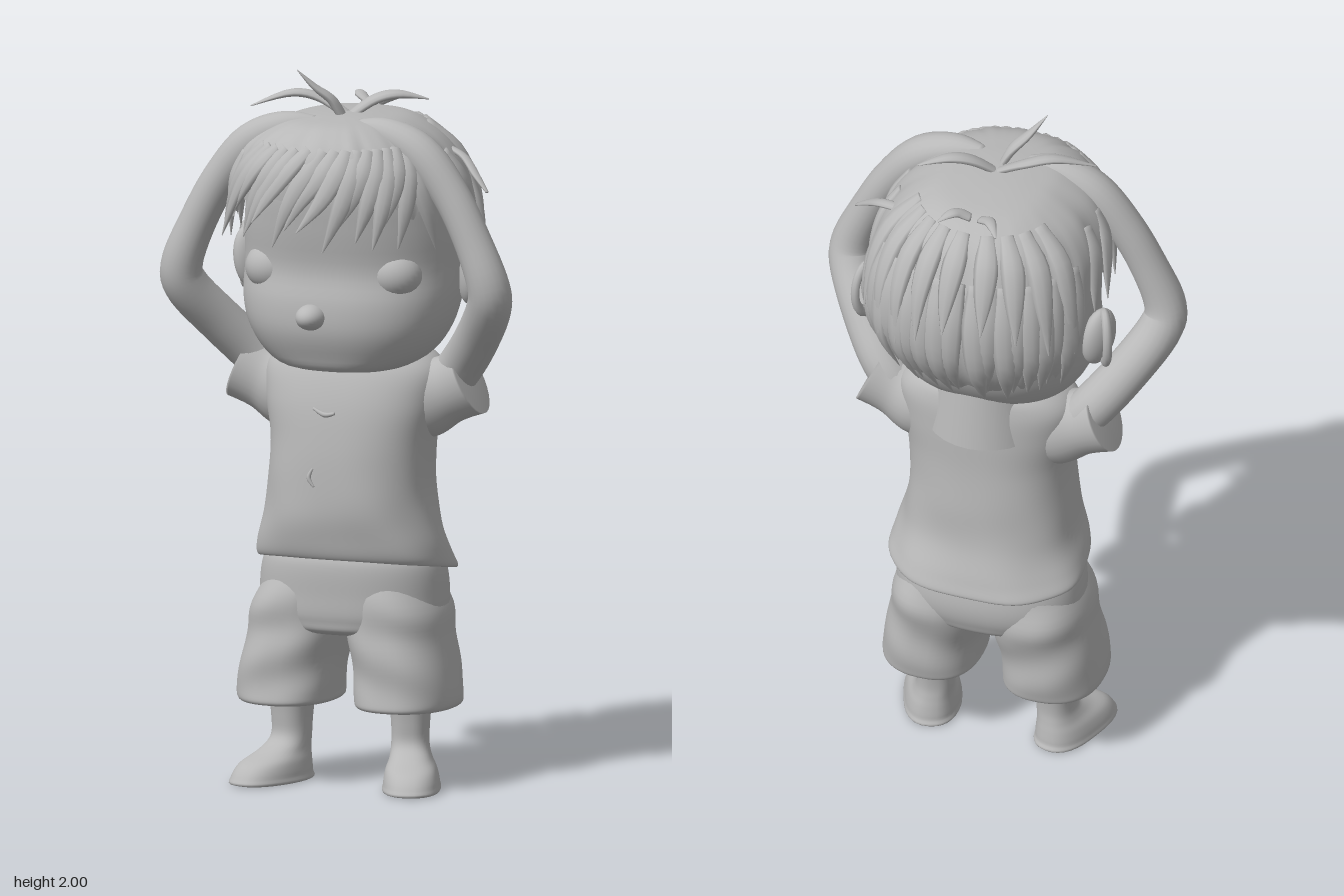
import * as THREE from 'three';

const clay = new THREE.MeshStandardMaterial({ color: 0xb8b8b8, side: THREE.DoubleSide });
clay.name = 'clay grey';
const V = (x, y, z) => new THREE.Vector3(x, y, z);
const clamp = THREE.MathUtils.clamp;
const smooth = THREE.MathUtils.smoothstep;

// Smooth interpolation through rows of numbers, t in 0..1
function sample(rows, t) {
  const n = rows.length - 1, f = clamp(t, 0, 1) * n, i = Math.min(Math.floor(f), n - 1), u = f - i;
  const row = k => rows[clamp(k, 0, n)];
  return rows[0].map((_, c) => {
    const a = row(i - 1)[c], b = row(i)[c], d = row(i + 1)[c], e = row(i + 2)[c];
    const m0 = (d - a) / 2, m1 = (e - b) / 2;
    return b + u * (m0 + u * (3 * (d - b) - 2 * m0 - m1 + u * (2 * (b - d) + m0 + m1)));
  });
}

// Closed-ring surface from fn(v, angle)
function skin(fn, rows, cols, flip) {
  const pos = [], idx = [];
  for (let i = 0; i <= rows; i++) for (let j = 0; j < cols; j++) pos.push(...fn(i / rows, j / cols * Math.PI * 2).toArray());
  for (let i = 0; i < rows; i++) for (let j = 0; j < cols; j++) {
    const k = (j + 1) % cols, a = i * cols + j, b = a + cols, c = (i + 1) * cols + k, d = i * cols + k;
    if (flip) idx.push(a, d, b, b, d, c); else idx.push(a, b, d, b, c, d);
  }
  const g = new THREE.BufferGeometry();
  g.setAttribute('position', new THREE.Float32BufferAttribute(pos, 3));
  g.setIndex(idx);
  g.computeVertexNormals();
  return g;
}

// Point on a body of sections [y, centreX, halfWidth, frontZ, backZ], listed top down; angle 0 is the front
function onBody(sections, t, a, power = 0.85) {
  const [y, cx, rx, zf, zb] = sample(sections, t);
  const p = q => Math.sign(q) * Math.abs(q) ** power;
  return V(cx + rx * p(Math.sin(a)), y, (zf + zb) / 2 + (zf - zb) / 2 * p(Math.cos(a)));
}
const loft = (sections, warp = () => {}, cols = 48, rows = 40) => skin((v, a) => {
  const p = onBody(sections, v, a);
  warp(p, a, v);
  return p;
}, rows, cols);

// Tapering tube through [x, y, z, radius]; "flat" thins it along the direction away from ref
function sweep(points, ref, flat = 1, rows = 16, cols = 10) {
  return skin((v, a) => {
    const t = clamp((v * rows - 1) / (rows - 2), 0, 1);
    const at = s => V(...sample(points, s));
    const c = at(t), T = at(Math.min(1, t + 0.01)).sub(at(Math.max(0, t - 0.01))).normalize();
    const N = c.clone().sub(ref);
    N.addScaledVector(T, -N.dot(T)).normalize();
    const B = T.clone().cross(N), r = v === 0 || v === 1 ? 0 : sample(points, t)[3];
    return c.addScaledVector(N, Math.cos(a) * r * flat).addScaledVector(B, Math.sin(a) * r);
  }, rows, cols, true);
}

export function createModel() {
  const model = new THREE.Group();
  model.name = 'child with raised arms';
  const add = (name, geometry, parent = model) => {
    const m = new THREE.Mesh(geometry, clay);
    m.name = name;
    parent.add(m);
    return m;
  };
  const ball = (name, x, y, z, sx, sy, sz) => {
    const m = add(name, new THREE.SphereGeometry(1, 28, 20));
    m.position.set(x, y, z);
    m.scale.set(sx, sy, sz);
    return m;
  };
  const behind = V(0, 1.4, -4);

  // Head, face and neck
  add('head', loft([
    [1.82, 0, 0, 0, 0], [1.8, 0, 0.16, 0.17, -0.18], [1.7, 0, 0.27, 0.245, -0.27], [1.58, 0, 0.3, 0.24, -0.3],
    [1.46, 0, 0.303, 0.222, -0.29], [1.37, 0, 0.3, 0.24, -0.26], [1.29, 0, 0.28, 0.24, -0.23],
    [1.22, 0, 0.235, 0.215, -0.18], [1.18, 0, 0.17, 0.19, -0.12], [1.17, 0, 0.08, 0.12, -0.05], [1.17, 0, 0, 0.04, 0.04],
  ]));
  add('neck', new THREE.CylinderGeometry(0.14, 0.17, 0.2, 28)).position.set(0, 1.18, -0.055);
  ball('nose', -0.025, 1.335, 0.235, 0.042, 0.036, 0.055);
  for (const s of [1, -1]) {
    ball('closedEye', s * 0.18, 1.45, 0.128, 0.078, 0.07, 0.075);
    const ear = ball('ear', s * 0.325, 1.435, -0.065, 0.035, 0.09, 0.055);
    ear.rotation.set(0.12, s * 0.5, -s * 0.12);
    const rim = add('earRim', new THREE.TorusGeometry(0.05, 0.013, 10, 28));
    rim.position.set(s * 0.345, 1.44, -0.072);
    rim.scale.set(0.85, 1.5, 1);
    rim.rotation.set(0, s * (Math.PI / 2 - 0.5), 0);
  }

  // Hair cap with a lower edge that dips behind the ears
  const hair = [
    [1.875, -0.01, 0, 0.02, 0.02], [1.87, -0.01, 0.09, 0.12, -0.1], [1.853, -0.01, 0.17, 0.22, -0.21],
    [1.8, -0.01, 0.25, 0.29, -0.28], [1.72, -0.005, 0.3, 0.315, -0.32], [1.62, 0, 0.32, 0.31, -0.345],
    [1.5, 0, 0.322, 0.28, -0.345], [1.38, 0, 0.29, 0.25, -0.305], [1.27, 0, 0.22, 0.2, -0.215],
  ];
  const edge = a => {
    const d = Math.min(a, Math.PI * 2 - a);
    return 0.56 + 0.1 * smooth(d, 0.5, 1.3) + 0.22 * smooth(d, 1.75, 2.1) + 0.06 * smooth(d, 2.3, 3.1);
  };
  add('hairCap', skin((v, a) => {
    const t = v * (edge(a) + 0.02 * Math.sin(a * 17) + 0.012 * Math.sin(a * 29));
    const p = onBody(hair, t, a);
    const k = 1 + smooth(v, 0.15, 0.8) * (0.014 * Math.sin(a * 17 + t * 2) + 0.008 * Math.sin(a * 29 + 1));
    return V(p.x * k, p.y, p.z * k);
  }, 44, 144));

  // Locks that follow the hair surface from (angle, height) to (angle, height)
  const centre = V(0, 1.55, 0);
  const lock = (name, a0, t0, a1, t1, lift, r) => {
    const pts = [0, 0.33, 0.67, 1].map((u, i) => {
      const p = onBody(hair, t0 + (t1 - t0) * u, a0 + (a1 - a0) * u);
      const k = 1 + lift * u * u - 0.012 * (1 - u);
      return [p.x * k, p.y, p.z * k, r * [0.6, 1, 0.75, 0.06][i]];
    });
    add(name, sweep(pts, centre, 0.5, 14, 8));
  };
  for (let i = 0; i < 15; i++) {
    const a = -0.85 + i * 0.125, w = Math.sin(i * 2.3);
    lock('fringeLock', a + 0.22, 0.36, a - 0.2, 0.68 + 0.04 * w, 0.08 + 0.05 * Math.sin(i * 1.7), 0.03);
  }
  for (const s of [1, -1]) for (let i = 0; i < 4; i++)
    lock('templeLock', s * (1.05 + i * 0.2), 0.42, s * (1.1 + i * 0.22), 0.72 - 0.02 * (i % 2), 0.03, 0.032);
  for (let i = 0; i < 19; i++) {
    const a = 2 + i * (2.28 / 18), w = Math.sin(i * 2.7);
    lock('napeLock', a, 0.5, a + 0.05 * w, edge(a) + 0.03 + 0.02 * w, 0.06 + 0.03 * w, 0.036);
    if (i % 2) lock('backLock', a - 0.05, 0.3, a + 0.06 * w, 0.72 + 0.06 * w, 0.07, 0.034);
  }

  // Loose tufts on the crown and at the side
  const tufts = [
    [[0, 1.85, 0.05, 0.02], [-0.03, 1.91, 0.07, 0.025], [-0.07, 1.95, 0.1, 0.018], [-0.11, 2, 0.13, 0.002]],
    [[0, 1.86, 0.02, 0.02], [0.06, 1.905, -0.01, 0.025], [0.12, 1.92, -0.04, 0.022], [0.195, 1.905, -0.08, 0.003]],
    [[0, 1.86, 0.02, 0.02], [-0.08, 1.905, 0.02, 0.022], [-0.16, 1.92, 0.05, 0.02], [-0.26, 1.885, 0.1, 0.003]],
    [[0, 1.86, -0.2, 0.015], [0.03, 1.875, -0.21, 0.018], [0.05, 1.88, -0.23, 0.015], [0.075, 1.87, -0.26, 0.003]],
    [[-0.03, 1.86, -0.2, 0.015], [-0.06, 1.875, -0.22, 0.018], [-0.08, 1.88, -0.25, 0.012], [-0.1, 1.87, -0.28, 0.003]],
    [[0.24, 1.77, -0.11, 0.015], [0.3, 1.75, -0.08, 0.016], [0.35, 1.71, -0.04, 0.014], [0.395, 1.67, -0.01, 0.006]],
  ];
  for (const t of tufts) add('hairTuft', sweep(t, V(0, 1.2, -0.1), 0.5));

  // Arms raised with the hands resting on the head, and short sleeves
  for (const s of [1, -1]) {
    const side = pts => pts.map(([x, y, z, r]) => [s * x, y, z, r]);
    add('arm', sweep(side([
      [0.22, 1.08, -0.05, 0.06], [0.3, 1.17, -0.04, 0.064], [0.38, 1.27, 0.025, 0.063], [0.445, 1.37, 0.1, 0.062],
      [0.452, 1.44, 0.125, 0.058], [0.405, 1.56, 0.125, 0.052], [0.34, 1.68, 0.12, 0.052],
      [0.25, 1.785, 0.115, 0.056], [0.15, 1.835, 0.11, 0.045], [0.06, 1.85, 0.1, 0.02],
    ]), behind, 1, 48, 20));
    add('sleeve', sweep(side([
      [0.12, 1.07, -0.04, 0.11], [0.2, 1.085, -0.04, 0.115], [0.27, 1.11, -0.04, 0.095], [0.335, 1.14, -0.04, 0.1],
    ]), behind, 0.85, 24, 28));
  }

  // Shirt: the hem dips at the back and has soft folds
  add('shirt', loft([
    [1.235, 0, 0.07, 0.03, -0.1], [1.222, 0, 0.18, 0.06, -0.16], [1.17, 0, 0.25, 0.105, -0.18],
    [1.08, 0, 0.25, 0.14, -0.187], [0.97, 0, 0.23, 0.16, -0.19], [0.85, -0.005, 0.23, 0.17, -0.2],
    [0.74, -0.005, 0.245, 0.17, -0.21], [0.66, -0.005, 0.268, 0.158, -0.24], [0.62, -0.005, 0.277, 0.145, -0.255],
    [0.615, -0.005, 0.262, 0.13, -0.235], [0.65, -0.005, 0.22, 0.1, -0.19],
  ], (p, a) => {
    const low = smooth(-p.y, -1, -0.62);
    p.y += 0.17 * (p.z + 0.05) * low;
    const k = 1 + low * (0.012 * Math.sin(a * 7 + p.y * 14) + 0.008 * Math.sin(a * 3 - p.y * 30));
    p.x *= k;
    p.z *= k;
  }, 72, 60));
  add('collarCrease', sweep([[-0.055, 1.065, 0.146, 0.004], [-0.02, 1.05, 0.152, 0.007], [0.01, 1.055, 0.152, 0.004]], behind));
  add('frontCrease', sweep([[-0.05, 0.9, 0.166, 0.003], [-0.06, 0.875, 0.168, 0.006], [-0.045, 0.85, 0.169, 0.003]], behind));

  // Shorts: hips and two wide legs with turned-in hems
  add('shortsHips', loft([
    [0.68, -0.01, 0.2, 0.1, -0.17], [0.63, -0.01, 0.25, 0.13, -0.215], [0.54, -0.012, 0.265, 0.132, -0.235],
    [0.47, -0.013, 0.255, 0.128, -0.225], [0.43, -0.013, 0.18, 0.1, -0.19], [0.415, -0.013, 0, -0.05, -0.05],
  ]));
  for (const [s, x] of [[1, 0.157], [-1, -0.192]]) {
    const c = k => -0.015 + (x + 0.015) * k;
    add('shortsLeg', loft([
      [0.6, c(0.68), 0.1, 0.1, -0.2], [0.5, c(0.78), 0.136, 0.13, -0.225], [0.42, c(0.85), 0.138, 0.132, -0.215],
      [0.33, c(0.95), 0.138, 0.137, -0.205], [0.26, c(1), 0.14, 0.14, -0.2], [0.232, c(1), 0.137, 0.138, -0.197],
      [0.232, c(1), 0.122, 0.122, -0.18], [0.3, c(1), 0.11, 0.1, -0.165], [0.36, c(1), 0, -0.04, -0.04],
    ], (p, a) => { p.z += 0.005 * Math.sin(p.y * 38 + a * 2 * s); }));

    // Lower leg and foot, turned slightly outward
    const leg = new THREE.Group();
    leg.name = 'legAndFoot';
    leg.position.set(x, 0, -0.04);
    leg.rotation.y = s * 0.24;
    model.add(leg);
    add('lowerLegAndFoot', loft([
      [0.42, 0, 0.07, 0.08, -0.08], [0.28, 0, 0.062, 0.072, -0.072], [0.18, 0, 0.053, 0.06, -0.058],
      [0.12, 0, 0.052, 0.062, -0.052], [0.085, 0.004 * s, 0.058, 0.11, -0.055], [0.055, 0.008 * s, 0.071, 0.18, -0.06],
      [0.02, 0.01 * s, 0.078, 0.213, -0.064], [0, 0.01 * s, 0.074, 0.208, -0.06], [0, 0.01 * s, 0, 0.07, 0.07],
    ], p => { p.x += s * 0.012 * smooth(p.z, 0.02, 0.2); p.y = Math.max(0, p.y); }, 32), leg);
  }
  return model;
}
